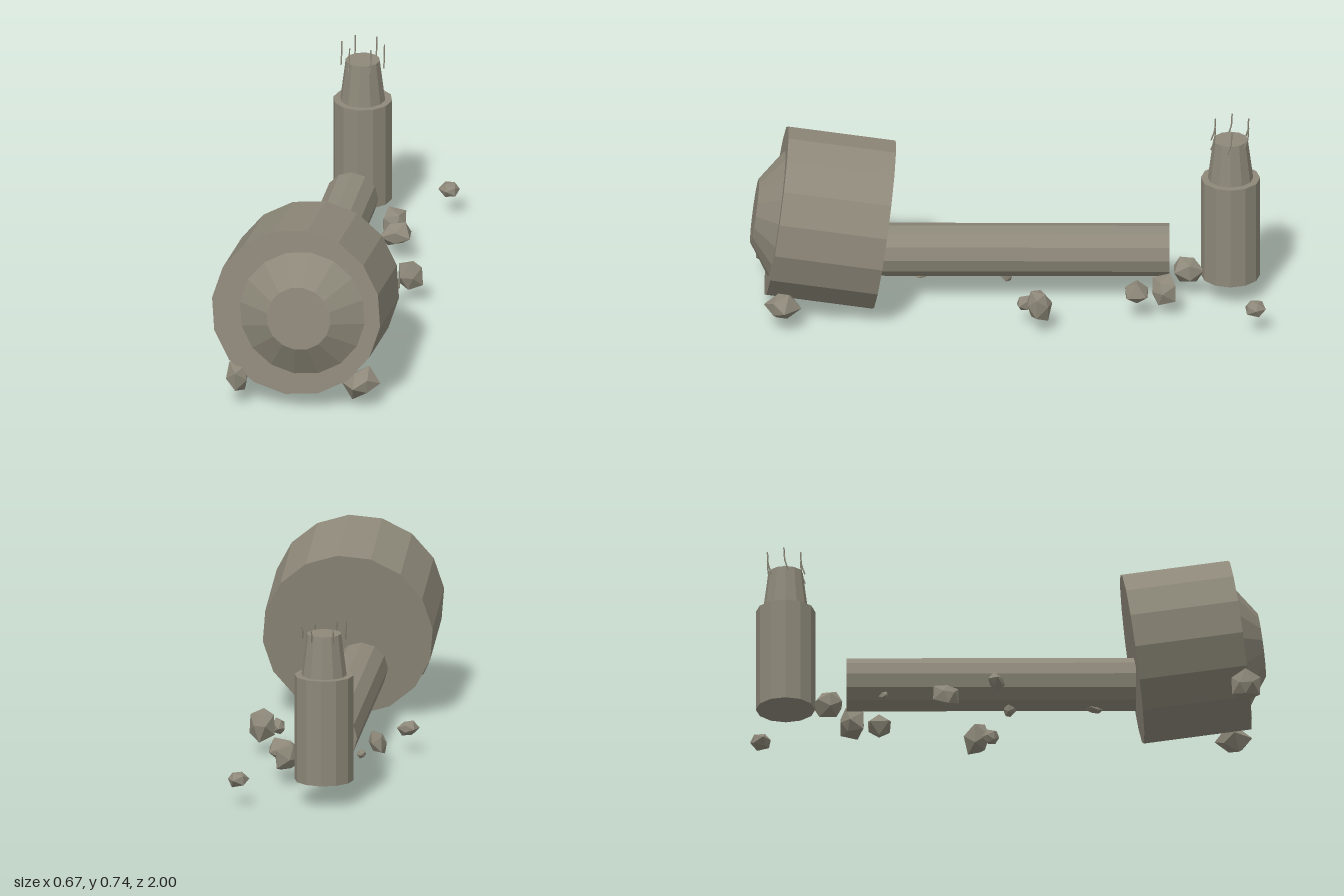
import * as THREE from 'three';

export function createModel() {
  const model = new THREE.Group();
  const stone = new THREE.MeshStandardMaterial({ color: 0x8d8879, flatShading: true });
  stone.name = 'weathered stone';

  const add = (parent, name, geometry, x = 0, y = 0, z = 0) => {
    const mesh = new THREE.Mesh(geometry, stone);
    mesh.name = name;
    mesh.position.set(x, y, z);
    parent.add(mesh);
    return mesh;
  };

  // Tilted drum head, local +y running toward the front
  const head = new THREE.Group();
  head.name = 'drumHead';
  head.position.set(0, 0.36, 0.693);
  head.rotation.x = Math.PI / 2 - 0.143;
  model.add(head);
  add(head, 'drum', new THREE.CylinderGeometry(0.333, 0.333, 0.42, 16, 1, false, -0.105));
  add(head, 'drumBoss', new THREE.CylinderGeometry(0.126, 0.247, 0.085, 16, 1, false, -0.105),
    0.025, 0.2525, 0);

  // Horizontal shaft
  const shaft = add(model, 'shaft', new THREE.CylinderGeometry(0.103, 0.103, 1.12, 12), -0.052, 0.198, -0.06);
  shaft.rotation.x = Math.PI / 2;

  // Upright post with tapered neck
  const post = new THREE.Group();
  post.name = 'post';
  post.position.set(-0.052, 0, -0.856);
  model.add(post);
  add(post, 'postBody', new THREE.CylinderGeometry(0.115, 0.115, 0.418, 12), 0, 0.301, 0);
  add(post, 'postNeck', new THREE.CylinderGeometry(0.067, 0.088, 0.165, 12), 0, 0.5925, 0);

  // Ring of bent rods around the top of the neck
  for (let i = 0; i < 6; i++) {
    const a = (i * Math.PI) / 3;
    const x = 0.084 * Math.cos(a), z = 0.074 * Math.sin(a);
    const path = new THREE.CurvePath();
    const points = [[0.65, 0.012], [0.69, -0.003], [0.745, -0.006]]
      .map(([y, dz]) => new THREE.Vector3(x, y, z + dz));
    path.add(new THREE.LineCurve3(points[0], points[1]));
    path.add(new THREE.LineCurve3(points[1], points[2]));
    add(post, 'rod', new THREE.TubeGeometry(path, 4, 0.003, 5));
  }

  // Irregular faceted rock; shared corners move together
  const rockGeometry = (seed) => {
    const g = new THREE.IcosahedronGeometry(1, 0);
    const p = g.attributes.position;
    for (let i = 0; i < p.count; i++) {
      const x = p.getX(i), y = p.getY(i), z = p.getZ(i);
      const s = 0.94 + 0.2 * Math.sin(seed * 2.3 + Math.round(x * 100) * 1.7 +
        Math.round(y * 100) * 2.9 + Math.round(z * 100) * 4.1);
      p.setXYZ(i, x * s, y * s, z * s);
    }
    g.computeVertexNormals();
    return g;
  };

  // Scattered rocks: x, y, z, half sizes
  const rocks = [
    [-0.225, 0.11, 0.925, 0.055, 0.063, 0.06],
    [0.25, 0.1, 0.875, 0.065, 0.066, 0.075],
    [0.27, 0.12, -0.115, 0.062, 0.07, 0.055],
    [0.21, 0.095, -0.06, 0.04, 0.035, 0.03],
    [-0.29, 0.1, -0.04, 0.042, 0.035, 0.036],
    [-0.195, 0.09, -0.235, 0.047, 0.05, 0.055],
    [-0.155, 0.1, -0.475, 0.02, 0.02, 0.02],
    [-0.05, 0.12, -0.69, 0.062, 0.065, 0.062],
    [0.12, 0.11, -0.6, 0.062, 0.06, 0.06],
    [0.145, 0.11, -0.495, 0.06, 0.055, 0.065],
    [0.275, 0.11, -0.95, 0.046, 0.034, 0.046],
    [-0.05, 0.09, 0.01, 0.03, 0.03, 0.03],
    [-0.05, 0.09, 0.34, 0.03, 0.012, 0.03],
  ];
  rocks.forEach(([x, y, z, sx, sy, sz], i) => {
    const rock = add(model, 'rock', rockGeometry(i + 1), x, y, z);
    rock.scale.set(sx, sy, sz);
    rock.rotation.y = i * 0.7;
  });

  return model;
}
